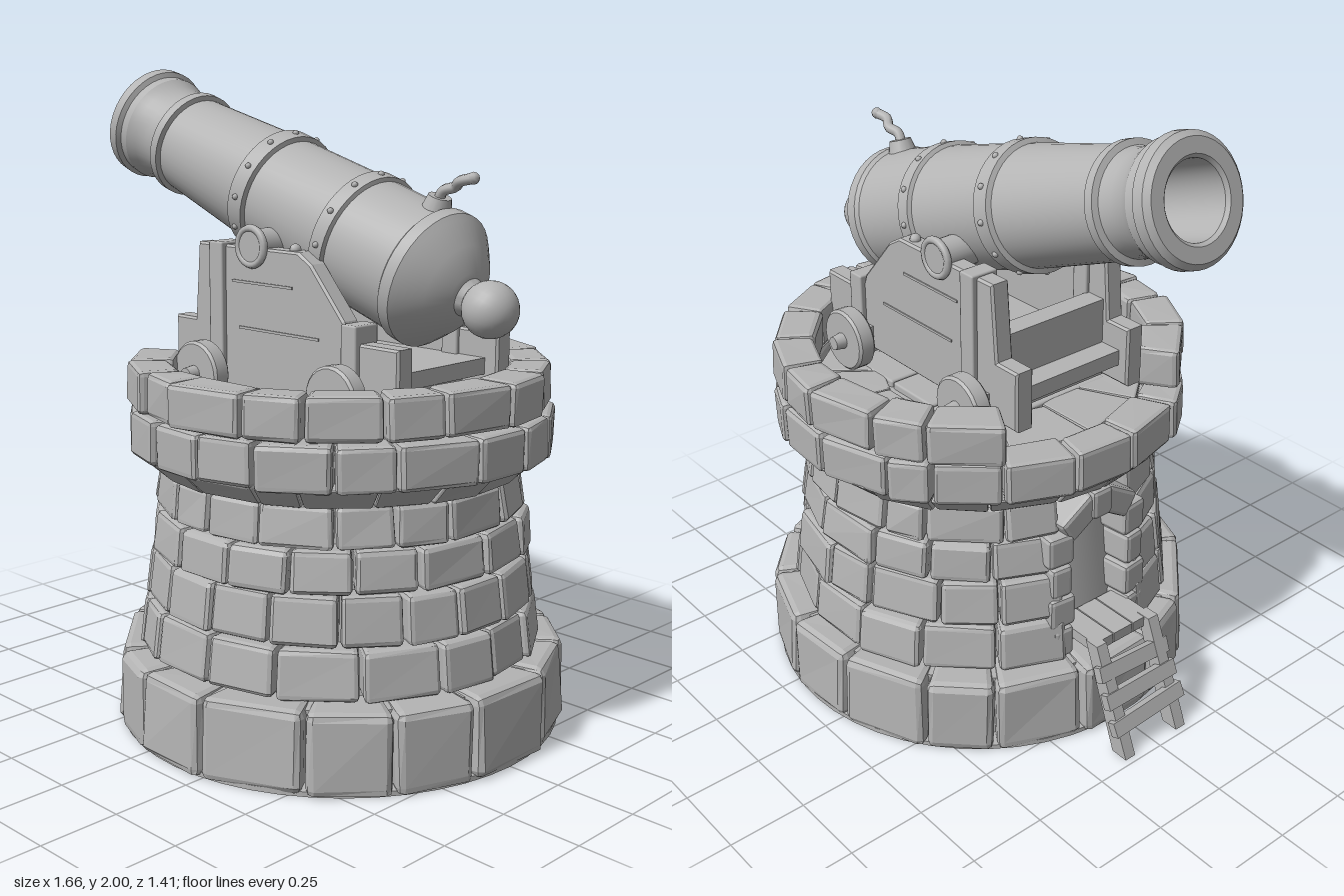
import * as THREE from 'three';
import { toCreasedNormals } from 'three/addons/utils/BufferGeometryUtils.js';
import { RoundedBoxGeometry } from 'three/addons/geometries/RoundedBoxGeometry.js';

const CX = 0.135; // tower axis
const grey = new THREE.MeshStandardMaterial({ color: 0xb4b4b4 });
grey.name = 'stone grey';

let seed = 7;
const rnd = () => (seed = (seed * 16807) % 2147483647) / 2147483647;

function add(parent, name, geo, x = 0, y = 0, z = 0) {
  const m = new THREE.Mesh(geo, grey);
  m.name = name;
  m.position.set(x, y, z);
  parent.add(m);
  return m;
}

const facet = (geo) => {
  const g = geo.index ? geo.toNonIndexed() : geo;
  g.computeVertexNormals();
  return g;
};

// Worn stone: a rounded box bent around the tower axis
function stone(a0, a1, y0, y1, rBot, rTop, depth, bevel, wear) {
  const r = (rBot + rTop) / 2, w = (a1 - a0) * r, h = y1 - y0;
  const g = new RoundedBoxGeometry(w - 0.006, h - 0.004, depth, 1, bevel);
  const p = g.attributes.position, k = rnd() * 50;
  for (let i = 0; i < p.count; i++) {
    const x = p.getX(i), y = p.getY(i), z = p.getZ(i);
    const n = (s) => wear * Math.sin(k + s + 37 * x + 53 * y + 29 * z);
    const a = (a0 + a1) / 2 + (x + n(1) * 0.6) / r;
    const f = y / h + 0.5;
    const rad = rBot + (rTop - rBot) * f - depth / 2 + z + n(2);
    p.setXYZ(i, Math.cos(a) * rad, (y0 + y1) / 2 + y + n(4) * 0.4, -Math.sin(a) * rad);
  }
  return facet(g);
}

// Ring of stones with uneven widths; gap is the half angle left open towards -x
function course(parent, name, o) {
  const group = new THREE.Group();
  group.name = name;
  group.position.x = CX;
  parent.add(group);
  const { n, y0, y1, rBot, rTop = rBot, depth = 0.13, gap = 0, bevel = 0.016, wear = 0.005, phase = 0 } = o;
  const start = -Math.PI + gap + (gap ? 0 : phase), span = 2 * (Math.PI - gap);
  const cuts = [];
  for (let i = 0; i <= n; i++) {
    const edge = i === 0 || i === n;
    cuts.push(start + span * (i + (edge ? 0 : (rnd() - 0.5) * 0.35)) / n);
  }
  for (let i = 0; i < n; i++) {
    const d = (rnd() - 0.5) * 0.014;
    add(group, name + 'Stone', stone(cuts[i], cuts[i + 1], y0, y1, rBot + d, rTop + d, depth, bevel, wear));
  }
}

function buildTower(root) {
  const tower = new THREE.Group();
  tower.name = 'tower';
  root.add(tower);
  // Solid core behind the stones, with the floor on top
  const core = [[0, 0], [0.695, 0], [0.695, 0.015], [0.64, 0.02], [0.64, 0.235], [0.54, 0.24], [0.475, 0.8],
    [0.56, 0.87], [0.56, 0.955], [0, 0.96]].map(([x, y]) => new THREE.Vector2(x, y));
  add(tower, 'core', toCreasedNormals(new THREE.LatheGeometry(core, 48), 0.5), CX);
  course(tower, 'base', { n: 16, y0: 0, y1: 0.25, rBot: 0.71, rTop: 0.7, depth: 0.16, bevel: 0.024, phase: 0.2 });
  const rows = [0.25, 0.4, 0.55, 0.68, 0.81];
  for (let i = 0; i < 4; i++) {
    const r = (y) => 0.632 - (y - 0.25) * 0.13;
    course(tower, 'wall', {
      n: 16 + (i % 2), y0: rows[i], y1: rows[i + 1], rBot: r(rows[i]), rTop: r(rows[i + 1]), gap: 0.24, depth: 0.14,
    });
  }
  // Flared corbel and parapet
  course(tower, 'corbel', { n: 20, y0: 0.8, y1: 0.875, rBot: 0.57, rTop: 0.645, bevel: 0.01, wear: 0.003 });
  course(tower, 'parapetLower', { n: 20, y0: 0.86, y1: 1.0, rBot: 0.655, phase: 0.1 });
  course(tower, 'parapetUpper', { n: 16, y0: 1.0, y1: 1.135, rBot: 0.65, gap: 0.56 });
  // Floor slabs
  course(tower, 'floorOuter', { n: 14, y0: 0.94, y1: 0.98, rBot: 0.53, depth: 0.22, bevel: 0.008, wear: 0.002 });
  for (let i = 0; i < 3; i++) {
    add(tower, 'floorSlab', new RoundedBoxGeometry(0.2, 0.04, 0.54, 1, 0.008), CX + (i - 1) * 0.205, 0.96, 0);
  }
}

function buildDoorway(root) {
  const door = new THREE.Group();
  door.name = 'doorway';
  root.add(door);
  // Jamb stones and lintel arch
  for (const s of [-1, 1]) {
    for (let i = 0; i < 4; i++) {
      const j = add(door, 'jambStone', facet(new RoundedBoxGeometry(0.13, 0.108, 0.075 + (i % 2) * 0.02, 1, 0.014)),
        -0.40 + i * 0.006, 0.305 + i * 0.11, s * 0.145);
      j.rotation.y = s * 0.12;
    }
    const a = add(door, 'archStone', facet(new RoundedBoxGeometry(0.13, 0.09, 0.14, 1, 0.014)), -0.385, 0.725, s * 0.075);
    a.rotation.x = s * 0.55;
  }
  add(door, 'keystone', facet(new RoundedBoxGeometry(0.14, 0.1, 0.08, 1, 0.014)), -0.39, 0.755, 0);
  // Landing planks
  for (let i = 0; i < 3; i++) {
    add(door, 'landingPlank', new THREE.BoxGeometry(0.17, 0.035, 0.078), -0.48, 0.33, (i - 1) * 0.082);
  }
  // Ladder
  const ladder = new THREE.Group();
  ladder.name = 'ladder';
  door.add(ladder);
  const rail = new THREE.Shape([[-0.73, 0], [-0.67, 0], [-0.535, 0.35], [-0.585, 0.35]].map((p) => new THREE.Vector2(...p)));
  for (const z of [-0.13, 0.09]) {
    add(ladder, 'ladderRail', new THREE.ExtrudeGeometry(rail, { depth: 0.04, bevelEnabled: false }), 0, 0, z);
  }
  for (let i = 0; i < 3; i++) {
    const rung = add(ladder, 'ladderRung', new THREE.BoxGeometry(0.03, 0.05, 0.29), -0.683 + i * 0.037, 0.105 + i * 0.075, 0);
    rung.rotation.z = -0.4;
    rung.rotation.x = (i - 1) * 0.06;
  }
}

function buildCarriage(root) {
  const carriage = new THREE.Group();
  carriage.name = 'carriage';
  root.add(carriage);
  const outline = [[-0.34, 1.05], [0.59, 1.05], [0.59, 1.23], [0.4, 1.23], [0.38, 1.29], [0.25, 1.44], [0.2, 1.47],
    [-0.23, 1.47], [-0.25, 1.23], [-0.34, 1.23]];
  const cheek = new THREE.Shape(outline.map((p) => new THREE.Vector2(...p)));
  const cheekGeo = new THREE.ExtrudeGeometry(cheek, {
    depth: 0.05, bevelEnabled: true, bevelSize: 0.007, bevelThickness: 0.007, bevelSegments: 1,
  });
  for (const s of [-1, 1]) {
    add(carriage, 'cheek', cheekGeo, 0, 0, s * 0.22 - 0.025);
    add(carriage, 'cheekStrap', new RoundedBoxGeometry(0.06, 0.44, 0.095, 1, 0.006), -0.14, 1.265, s * 0.222);
    add(carriage, 'rearStrap', new RoundedBoxGeometry(0.06, 0.24, 0.095, 1, 0.006), 0.42, 1.17, s * 0.222);
    add(carriage, 'strapBolt', new THREE.SphereGeometry(0.018, 10, 6), 0.16, 1.48, s * 0.22);
    for (const [x, y, len] of [[0.05, 1.37, 0.26], [0.12, 1.23, 0.34]]) {
      add(carriage, 'plankBatten', new THREE.BoxGeometry(len, 0.008, 0.006), x, y, s * 0.253);
    }
    add(carriage, 'trunnionRing', new THREE.TorusGeometry(0.055, 0.012, 8, 24), 0.01, 1.48, s * 0.258);
    // Wheels with hubs
    for (const x of [-0.17, 0.41]) {
      const wheel = new THREE.Group();
      wheel.name = 'wheel';
      wheel.position.set(x, 1.08, s * 0.305);
      wheel.rotation.x = s * Math.PI / 2;
      carriage.add(wheel);
      const tyre = [[0, -0.03], [0.092, -0.03], [0.1, -0.022], [0.1, 0.022], [0.092, 0.03], [0, 0.03]];
      add(wheel, 'wheelDisc', toCreasedNormals(
        new THREE.LatheGeometry(tyre.map((p) => new THREE.Vector2(...p)), 24), 0.5));
      add(wheel, 'hub', new THREE.CylinderGeometry(0.022, 0.028, 0.05, 12), 0, 0.04, 0);
    }
  }
  for (const x of [-0.17, 0.41]) add(carriage, 'axle', new THREE.BoxGeometry(0.11, 0.09, 0.56), x, 1.08, 0);
  add(carriage, 'bed', new THREE.BoxGeometry(0.86, 0.05, 0.4), 0.12, 1.13, 0);
  add(carriage, 'frontTransom', new THREE.BoxGeometry(0.07, 0.16, 0.4), -0.2, 1.22, 0);
  const trunnion = add(carriage, 'trunnion', new THREE.CylinderGeometry(0.052, 0.052, 0.53, 24), 0.01, 1.48, 0);
  trunnion.rotation.x = Math.PI / 2;
}

function buildBarrel(root) {
  // Local +y runs from the muzzle to the breech
  const barrel = new THREE.Group();
  barrel.name = 'barrel';
  barrel.position.set(-0.765, 1.83, 0);
  barrel.rotation.z = -1.892;
  root.add(barrel);
  const profile = [[0, 0.3], [0.105, 0.3], [0.11, 0.01], [0.12, 0], [0.165, 0], [0.182, 0.015], [0.184, 0.05], [0.17, 0.06],
    [0.172, 0.09], [0.158, 0.12], [0.15, 0.17], [0.153, 0.215], [0.172, 0.22], [0.172, 0.25], [0.157, 0.255],
    [0.182, 0.64], [0.198, 0.645], [0.198, 0.705], [0.184, 0.71], [0.195, 1.02], [0.208, 1.025], [0.208, 1.075],
    [0.196, 1.08], [0.198, 1.31], [0.209, 1.32], [0.209, 1.36], [0.195, 1.375], [0.14, 1.43], [0.075, 1.47],
    [0.058, 1.475], [0.045, 1.5], [0.045, 1.53], [0, 1.53]].map((p) => new THREE.Vector2(...p));
  add(barrel, 'barrelTube', toCreasedNormals(new THREE.LatheGeometry(profile, 40), 0.5));
  add(barrel, 'breechKnob', new THREE.SphereGeometry(0.083, 24, 16), 0, 1.56, 0);
  // Rivets on the two bands
  for (const [t, r] of [[0.675, 0.198], [1.05, 0.208]]) {
    for (let i = 0; i < 12; i++) {
      const a = i * Math.PI / 6;
      add(barrel, 'bandRivet', new THREE.SphereGeometry(0.01, 8, 6), Math.cos(a) * r, t, Math.sin(a) * r);
    }
  }
  // Touch hole and fuse
  const pan = add(root, 'touchHole', new THREE.CylinderGeometry(0.035, 0.05, 0.06, 16), 0.515, 1.615, 0);
  pan.rotation.z = -0.32;
  const path = new THREE.CatmullRomCurve3([[0.515, 1.62, 0], [0.54, 1.66, 0.005], [0.575, 1.672, -0.005], [0.605, 1.69, 0.01],
    [0.645, 1.7, 0]].map((p) => new THREE.Vector3(...p)));
  add(root, 'fuse', new THREE.TubeGeometry(path, 20, 0.016, 8));
  add(root, 'fuseTip', new THREE.SphereGeometry(0.018, 8, 6), 0.645, 1.7, 0);
}

export function createModel() {
  const root = new THREE.Group();
  root.name = 'cannonTower';
  buildTower(root);
  buildDoorway(root);
  buildCarriage(root);
  buildBarrel(root);
  return root;
}
